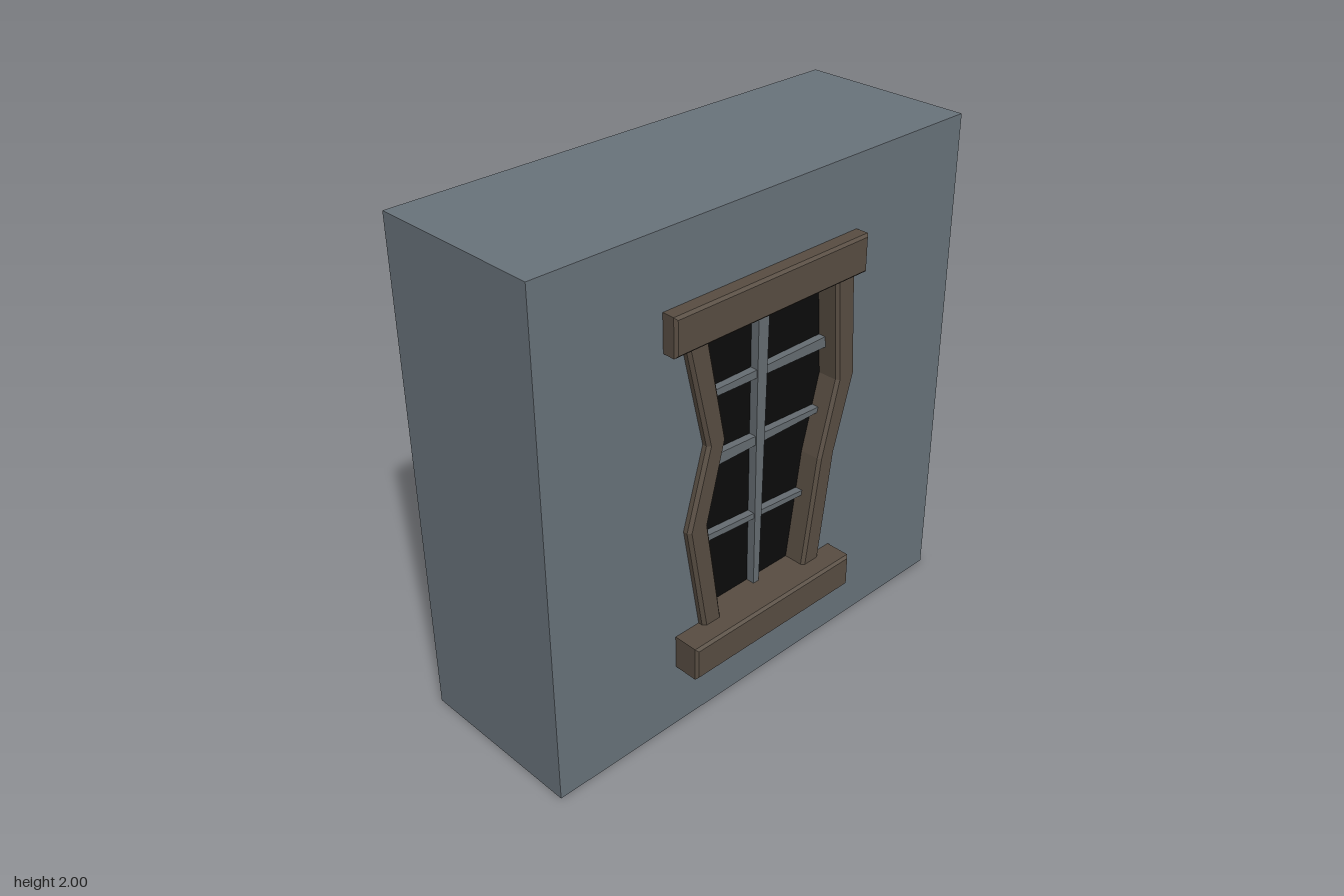
import * as THREE from 'three';
import { mergeGeometries } from 'three/addons/utils/BufferGeometryUtils.js';

const FRONT = 0.3, BACK = -0.41, GLASS_Z = 0.24;

const paint = (color) => new THREE.MeshStandardMaterial({ color, flatShading: true });
const toShape = (pts) => new THREE.Shape(pts.map(([x, y]) => new THREE.Vector2(x, y)));
const rect = (x0, x1, y0, y1) => [[x0, y0], [x1, y0], [x1, y1], [x0, y1]];

// Outline extruded from z0 to z1, with chamfered edges inside those limits
function slab(name, pts, z0, z1, material, bevel = 0) {
  const geometry = new THREE.ExtrudeGeometry(toShape(pts), {
    depth: z1 - z0 - 2 * bevel, bevelEnabled: bevel > 0, bevelSegments: 1,
    bevelSize: bevel, bevelThickness: bevel, bevelOffset: -bevel,
  });
  geometry.translate(0, 0, z0 + bevel);
  const mesh = new THREE.Mesh(geometry, material);
  mesh.name = name;
  return mesh;
}

export function createModel() {
  const model = new THREE.Group();
  model.name = 'windowInWall';
  const stone = paint(0x69737b), wood = paint(0x584d42);
  const black = paint(0x0b0b0b), lead = paint(0x666d72);

  // Crooked posts: [outer x, inner x, y] from bottom to top, ends hidden in sill and lintel
  const leftRows = [[-0.318, -0.23, 0.34], [-0.4, -0.305, 0.845], [-0.307, -0.22, 1.16], [-0.415, -0.315, 1.64]];
  const rightRows = [[0.28, 0.188, 0.34], [0.353, 0.267, 0.855], [0.443, 0.348, 1.16], [0.413, 0.315, 1.64]];
  const outline = (rows) => [
    ...rows.map(([outer, , y]) => [outer, y]),
    ...rows.map(([, inner, y]) => [inner, y]).reverse(),
  ];
  const middle = (rows) => rows.map(([outer, inner, y]) => [(outer + inner) / 2, y]);
  const opening = [...middle(rightRows), ...middle(leftRows).reverse()];

  // Wall: a block whose front face has the window opening cut out
  const block = new THREE.BoxGeometry(2, 2, FRONT - BACK).translate(0, 1, (FRONT + BACK) / 2);
  const index = Array.from(block.index.array);
  index.splice(24, 6); // drop the plain front face
  block.setIndex(index);
  block.clearGroups();
  const face = toShape(rect(-1, 1, 0, 2));
  face.holes.push(toShape(opening));
  const facade = new THREE.ShapeGeometry(face).translate(0, 0, FRONT);
  const wall = new THREE.Mesh(mergeGeometries([block, facade]), stone);
  wall.name = 'wall';
  model.add(wall);

  // Dark pane set back in the opening
  model.add(slab('glass', opening, GLASS_Z - 0.02, GLASS_Z, black));

  // Wooden frame
  model.add(slab('leftPost', outline(rightRows), GLASS_Z - 0.02, 0.33, wood, 0.012));
  model.add(slab('rightPost', outline(leftRows), GLASS_Z - 0.02, 0.33, wood, 0.012));
  model.add(slab('lintel', rect(-0.48, 0.443, 1.573, 1.72), GLASS_Z - 0.02, 0.36, wood, 0.01));
  model.add(slab('sill', rect(-0.443, 0.375, 0.267, 0.405), GLASS_Z - 0.02, 0.41, wood, 0.01));

  // Uneven glazing bars
  const bars = new THREE.Group();
  bars.name = 'glazingBars';
  bars.add(slab('uprightBar', [[-0.017, 0.36], [0.01, 0.36], [0.038, 1.62], [-0.016, 1.62]], GLASS_Z - 0.01, 0.275, lead));
  // [left x, low y, high y, right x, low y, high y]
  [
    [-0.27, 1.298, 1.323, 0.37, 1.278, 1.322],
    [-0.28, 1.016, 1.066, 0.34, 1.016, 1.036],
    [-0.31, 0.719, 0.745, 0.27, 0.679, 0.7],
  ].forEach(([xl, yl0, yl1, xr, yr0, yr1]) => {
    bars.add(slab('crossBar', [[xl, yl0], [xr, yr0], [xr, yr1], [xl, yl1]], GLASS_Z - 0.01, 0.27, lead));
  });
  model.add(bars);

  return model;
}
